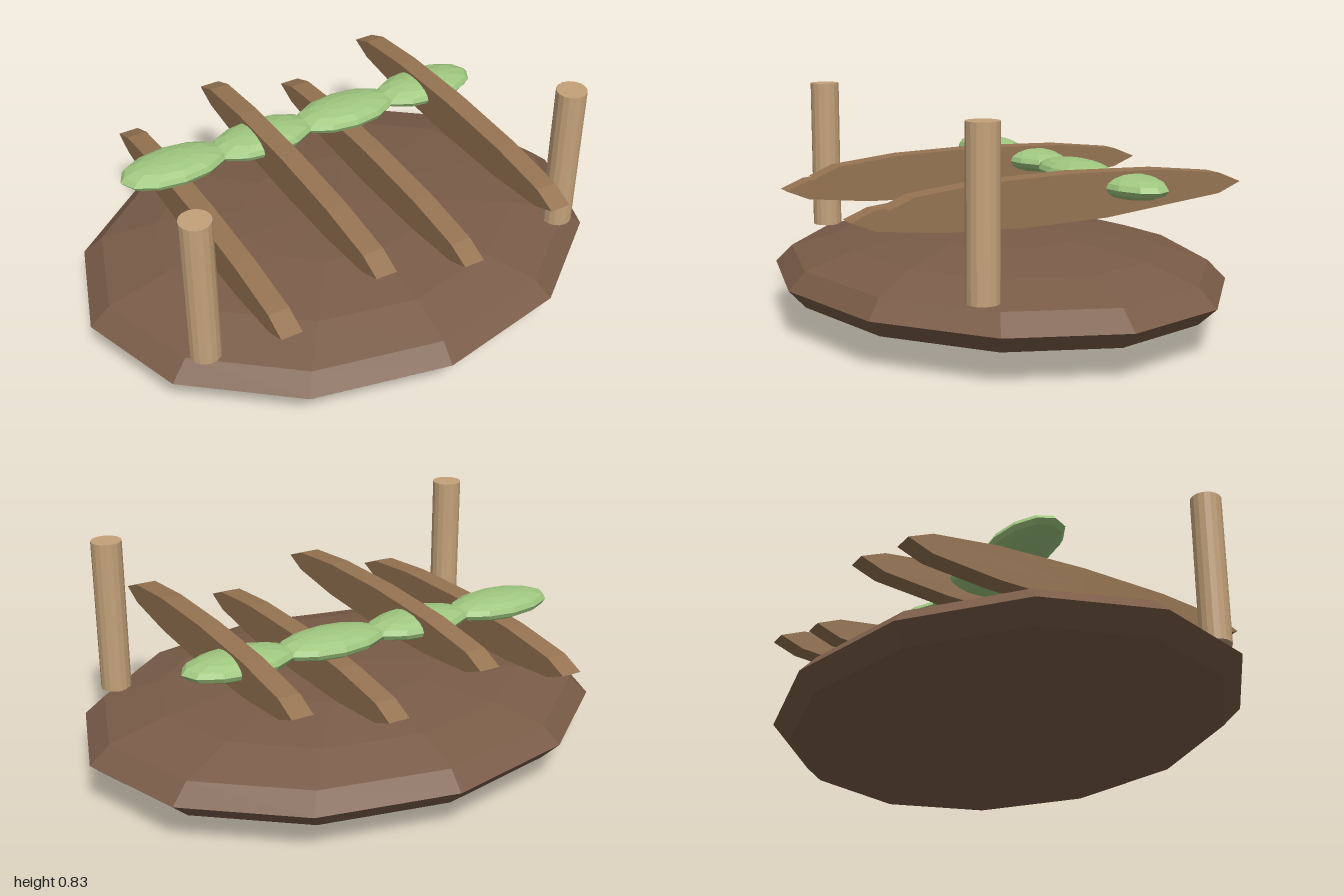
import * as THREE from 'three';

const material = (color) => new THREE.MeshStandardMaterial({ color, flatShading: true });

export function createModel() {
  const group = new THREE.Group();
  const add = (name, geometry, mat, x, y, z) => {
    const mesh = new THREE.Mesh(geometry, mat);
    mesh.name = name;
    mesh.position.set(x, y, z);
    group.add(mesh);
    return mesh;
  };

  // Flattened faceted base
  const baseGeometry = new THREE.SphereGeometry(1, 12, 8).scale(1, 0.17, 0.8);
  add('base', baseGeometry, material(0x7a5c48), 0, 0.173, 0);

  // Lens-shaped slats, alternating low and high, with a bead over each position
  const slatGeometry = new THREE.CylinderGeometry(1, 1, 0.078, 12)
    .rotateZ(Math.PI / 2)
    .scale(1, 0.073, 0.667);
  const beadGeometry = new THREE.SphereGeometry(0.21, 12, 8).scale(1, 0.215, 0.525);
  const slatMaterial = material(0x967452);
  const beadMaterial = material(0xa0c880);
  for (let i = 0; i < 4; i++) {
    const x = (i - 1.5) * 0.357;
    add('slat' + (i + 1), slatGeometry, slatMaterial, x, i % 2 ? 0.542 : 0.44, -0.022);
    add('greenBead' + (i + 1), beadGeometry, beadMaterial, x, 0.555, -0.243);
  }

  // Front posts
  const postGeometry = new THREE.CylinderGeometry(0.056, 0.056, 0.574, 16);
  const postMaterial = material(0xc4a27a);
  for (const side of [-1, 1]) {
    add(side > 0 ? 'leftPost' : 'rightPost', postGeometry, postMaterial, side * 0.738, 0.543, 0.4);
  }

  return group;
}
